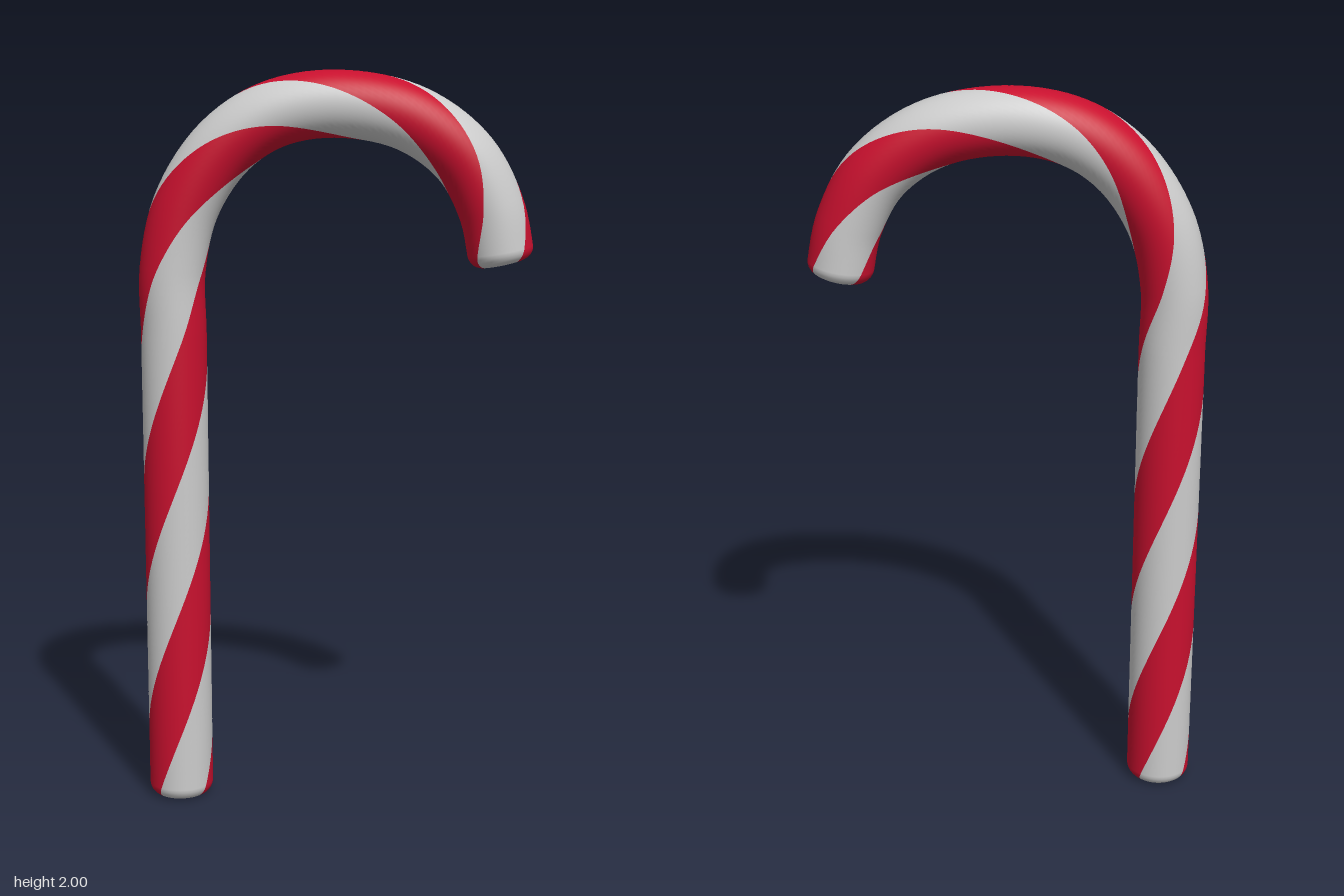
import * as THREE from 'three';

const RADIUS = 0.088;
const FILLET = 0.035;
const PITCH = 1.4; // length of one full turn of the stripes

// Centre line: straight shaft, then the hook
const path = new THREE.CatmullRomCurve3([
  [-0.44, 0], [-0.44, 0.5], [-0.44, 1.0], [-0.44, 1.3], [-0.44, 1.48],
  [-0.40, 1.65], [-0.30, 1.80], [-0.17, 1.885], [0, 1.912],
  [0.19, 1.875], [0.33, 1.775], [0.405, 1.64], [0.437, 1.495],
].map(([x, y]) => new THREE.Vector3(x, y, 0)));
path.arcLengthDivisions = 600;
const LENGTH = path.getLength();

// Rings along the cane: s = distance, r = radius, tilt = lean of the normal along the path
function makeRings() {
  const start = [{ s: 0, r: 0, tilt: -Math.PI / 2 }];
  for (let i = 0; i <= 6; i++) {
    const a = (i / 6) * Math.PI / 2;
    start.push({
      s: FILLET * (1 - Math.sin(a)),
      r: RADIUS - FILLET + FILLET * Math.cos(a),
      tilt: -a,
    });
  }
  // order the rounded end from the middle outwards
  const cap = [start[0], ...start.slice(1).reverse()];
  const body = [];
  const steps = 140;
  for (let i = 1; i < steps; i++) {
    body.push({ s: FILLET + (LENGTH - 2 * FILLET) * i / steps, r: RADIUS, tilt: 0 });
  }
  const end = cap.map(({ s, r, tilt }) => ({ s: LENGTH - s, r, tilt: -tilt })).reverse();
  return [...cap, ...body, ...end];
}

// One colour: every second quarter of the section, twisted along the path
function stripes(name, color, firstAngle) {
  const rings = makeRings();
  const sides = 12;
  const positions = [], normals = [], index = [];
  for (let k = 0; k < 2; k++) {
    const base = positions.length / 3;
    rings.forEach(({ s, r, tilt }, i) => {
      const c = path.getPointAt(s / LENGTH);
      const t = path.getTangentAt(s / LENGTH);
      const across = new THREE.Vector3(t.y, -t.x, 0);
      const twist = firstAngle + k * Math.PI - (2 * Math.PI * s) / PITCH;
      for (let j = 0; j <= sides; j++) {
        const a = twist + (j / sides) * Math.PI / 2;
        const out = across.clone().multiplyScalar(Math.cos(a));
        out.z = Math.sin(a);
        const p = c.clone().addScaledVector(out, r);
        const n = out.multiplyScalar(Math.cos(tilt)).addScaledVector(t, Math.sin(tilt));
        positions.push(p.x, p.y, p.z);
        normals.push(n.x, n.y, n.z);
        if (i < rings.length - 1 && j < sides) {
          const q = base + i * (sides + 1) + j;
          const up = q + sides + 1;
          index.push(q, up, q + 1, q + 1, up, up + 1);
        }
      }
    });
  }
  const geometry = new THREE.BufferGeometry();
  geometry.setAttribute('position', new THREE.Float32BufferAttribute(positions, 3));
  geometry.setAttribute('normal', new THREE.Float32BufferAttribute(normals, 3));
  geometry.setIndex(index);
  const mesh = new THREE.Mesh(geometry, new THREE.MeshStandardMaterial({ color }));
  mesh.name = name;
  return mesh;
}

export function createModel() {
  const group = new THREE.Group();
  group.name = 'candyCane';
  const redStart = Math.PI / 2 + (2 * Math.PI * 0.17) / PITCH;
  group.add(stripes('redStripes', 0xc8102e, redStart));
  group.add(stripes('whiteStripes', 0xcccccc, redStart + Math.PI / 2));
  return group;
}
